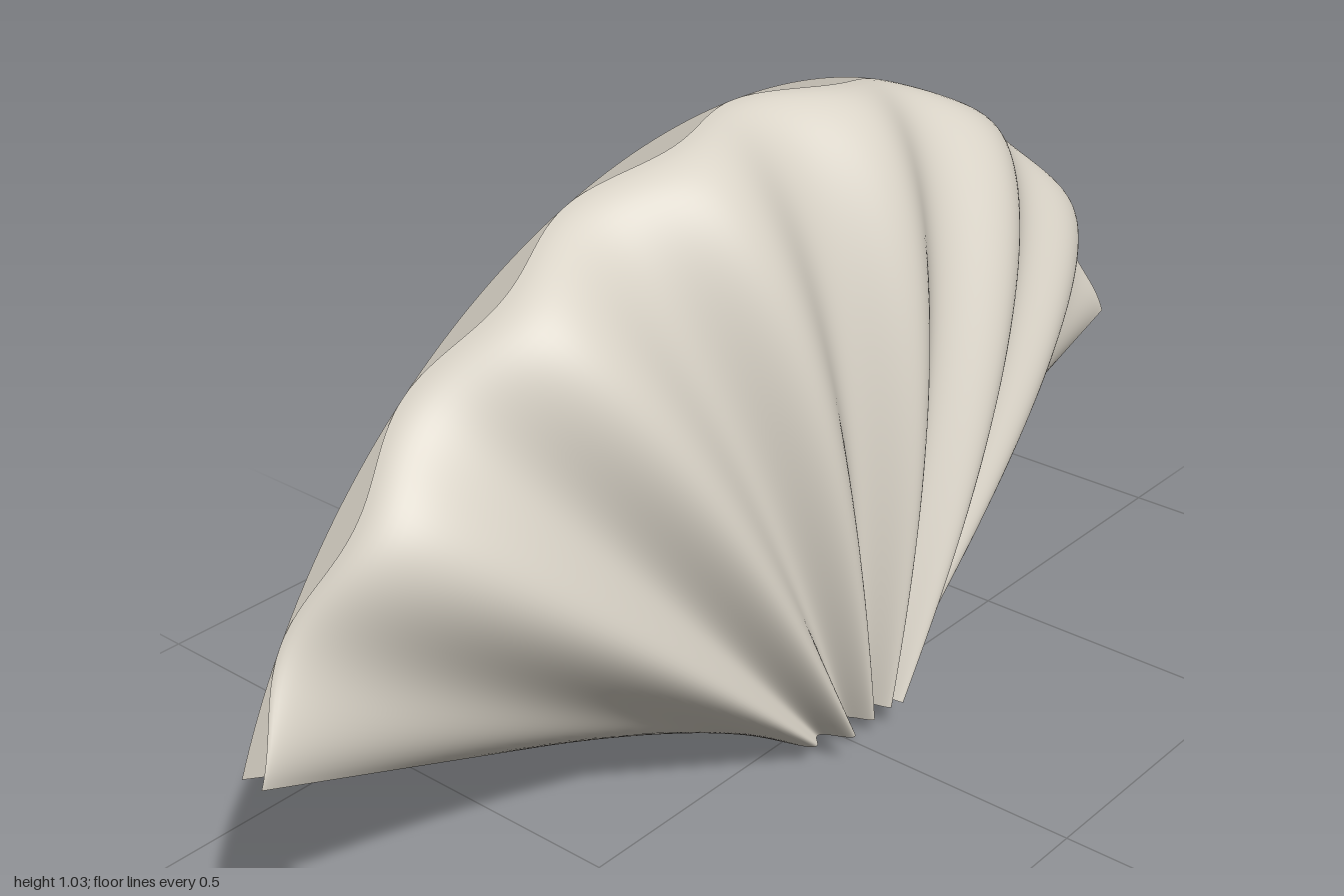
import * as THREE from 'three';

const INNER = 0.13, OUTER = 1.0824;        // radii of the fan sector
const HALF = THREE.MathUtils.degToRad(67.5); // half of the opening angle
const CENTRE_Y = -0.0497, BACK_Z = -0.147;
const FLUTES = 7, HEIGHT = 0.294;

// Depth of the fluted front at u (-1..1 across the fan) and t (0 inner arc, 1 rim)
function depth(u, t) {
  const ridge = (1 - Math.cos(Math.PI * FLUTES * u)) / 2;
  const dome = Math.sqrt(Math.max(0, 1 - t ** 2.4)) * (1 - Math.abs(u) ** 4.4);
  return BACK_Z + 0.04 * t * ridge + HEIGHT * dome * (1 - 0.15 * (1 - ridge));
}

export function createModel() {
  const group = new THREE.Group();
  const material = new THREE.MeshStandardMaterial({ color: 0xd9d3c7, side: THREE.DoubleSide });

  // Fluted shell: a grid bent into a domed, rippled sector
  const shellGeo = new THREE.PlaneGeometry(2, 1, 196, 40);
  const pos = shellGeo.attributes.position;
  for (let i = 0; i < pos.count; i++) {
    const u = pos.getX(i);
    const t = Math.sin((pos.getY(i) + 0.5) * Math.PI / 2); // finer rows near the rim
    const r = INNER + (OUTER - INNER) * t;
    pos.setXYZ(i, r * Math.sin(u * HALF), CENTRE_Y + r * Math.cos(u * HALF), depth(u, t));
  }
  shellGeo.computeVertexNormals();
  const shell = new THREE.Mesh(shellGeo, material);
  shell.name = 'flutedShell';

  // Flat sector closing the back
  const backGeo = new THREE.RingGeometry(INNER, OUTER, 112, 1, Math.PI / 2 - HALF, 2 * HALF);
  backGeo.rotateY(Math.PI);
  backGeo.translate(0, CENTRE_Y, BACK_Z);
  const back = new THREE.Mesh(backGeo, material);
  back.name = 'backPlate';

  group.add(shell, back);
  return group;
}
